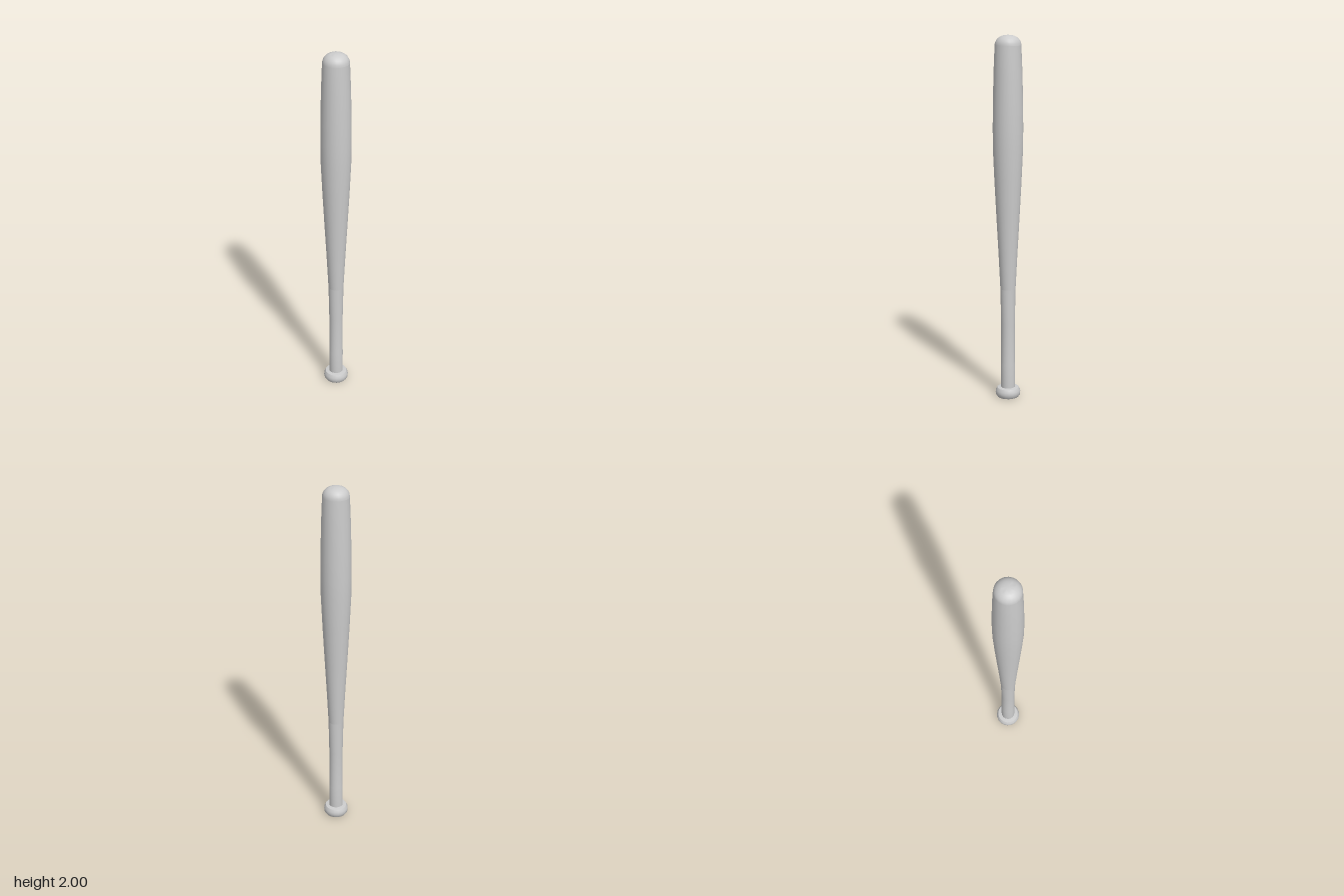
import * as THREE from 'three';
import { toCreasedNormals } from 'three/addons/utils/BufferGeometryUtils.js';

const SIDES = 20;

// Turned part from [radius, height] pairs, listed bottom to top
function turned(name, profile, material) {
  const points = profile.map(([r, y]) => new THREE.Vector2(r, y));
  const geometry = toCreasedNormals(new THREE.LatheGeometry(points, SIDES), 0.65);
  const mesh = new THREE.Mesh(geometry, material);
  mesh.name = name;
  return mesh;
}

export function createModel() {
  const group = new THREE.Group();
  group.name = 'bat';
  const material = new THREE.MeshStandardMaterial({ color: 0xcccccc });

  // Flat-bottomed knob with rounded rim
  group.add(turned('knob', [
    [0, 0], [0.058, 0], [0.067, 0.012], [0.069, 0.025],
    [0.068, 0.038], [0.06, 0.053], [0.037, 0.056],
  ], material));

  // Slim handle
  group.add(turned('handle', [
    [0.039, 0.05], [0.039, 0.19], [0.038, 0.2], [0.038, 0.42], [0.042, 0.62],
  ], material));

  // Barrel swelling out of the handle, then easing in toward the tip
  group.add(turned('barrel', [
    [0.042, 0.62], [0.052, 0.82], [0.063, 1.02], [0.073, 1.21],
    [0.081, 1.39], [0.082, 1.5], [0.081, 1.62], [0.077, 1.8], [0.071, 1.945],
  ], material));

  // Rounded tip
  const tip = [];
  for (let i = 0; i <= 8; i++) {
    const a = (i / 8) * Math.PI / 2;
    tip.push([i === 8 ? 0 : 0.071 * Math.cos(a) ** 0.85, 1.945 + 0.055 * Math.sin(a)]);
  }
  group.add(turned('tip', tip, material));

  return group;
}
